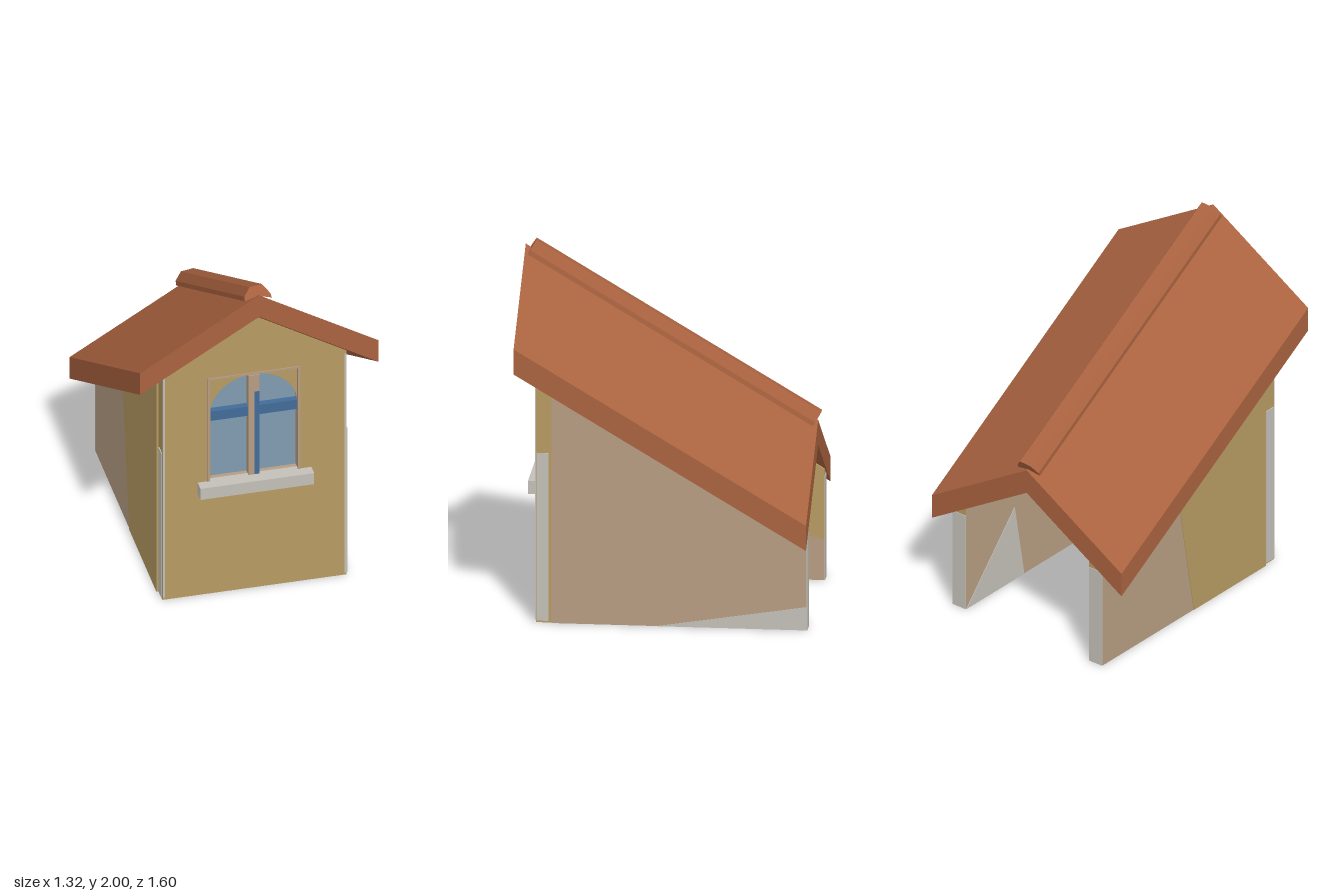
import * as THREE from 'three';

const SLOPE = 0.597; // fall of the roof from front to back

const mat = (name, color) => {
  const m = new THREE.MeshStandardMaterial({ color });
  m.name = name;
  return m;
};

export function createModel() {
  const group = new THREE.Group();
  group.name = 'dormer';

  const roofMat = mat('terracotta', 0xa9623f);
  const wallMat = mat('ochre plaster', 0xb69a62);
  const tanMat = mat('tan boards', 0xb69c82);
  const whiteMat = mat('off white', 0xc3c0b8);
  const glassMat = mat('glass blue', 0x7f9bb0);
  const blueMat = mat('bar blue', 0x436c98);

  const add = (name, geo, material) => {
    const mesh = new THREE.Mesh(geo, material);
    mesh.name = name;
    group.add(mesh);
    return mesh;
  };
  const shape = (pts) => new THREE.Shape(pts.map(([x, y]) => new THREE.Vector2(x, y)));
  const extrude = (s, depth) =>
    new THREE.ExtrudeGeometry(s, { depth, bevelEnabled: false, curveSegments: 16 });
  // box given by its limits
  const box = (name, x0, x1, y0, y1, z0, z1, m) => {
    const g = new THREE.BoxGeometry(x1 - x0, y1 - y0, z1 - z0);
    g.translate((x0 + x1) / 2, (y0 + y1) / 2, (z0 + z1) / 2);
    return add(name, g, m);
  };
  // outline in (z, y), filled from x0 to x1
  const sidePiece = (name, pts, x0, x1, m) => {
    const g = extrude(shape(pts), x1 - x0);
    g.rotateY(-Math.PI / 2);
    g.translate(x1, 0, 0);
    return add(name, g, m);
  };
  // tilt vertices above minY along the roof slope
  const shear = (g, z0, minY) => {
    const p = g.attributes.position;
    for (let i = 0; i < p.count; i++) {
      if (p.getY(i) > minY) p.setY(i, p.getY(i) + SLOPE * (p.getZ(i) - z0));
    }
    g.computeVertexNormals();
    return g;
  };

  // Roof: chevron section running down towards the back
  const roof = extrude(shape([
    [-0.66, 1.43], [0, 1.83], [0.66, 1.43], [0.66, 1.57], [0, 1.97], [-0.66, 1.57],
  ]), 1.58);
  roof.translate(0, 0, -0.78);
  add('roof', shear(roof, 0.8, -1), roofMat);

  // Ridge cap, square to the slope
  const cap = extrude(shape([
    [-0.075, -0.08], [0, -0.06], [0.075, -0.08], [0.07, -0.055], [0.03, 0], [-0.04, -0.008], [-0.075, -0.055],
  ]), 1.794);
  cap.rotateX(-Math.atan(SLOPE));
  cap.translate(0, 1.08, -0.8);
  add('ridgeCap', cap, roofMat);

  // Front gable wall with window opening
  const front = shape([[-0.51, 0], [0.51, 0], [0.51, 1.465], [0, 1.775], [-0.51, 1.465]]);
  front.holes.push(new THREE.Path(
    [[-0.26, 0.72], [-0.26, 1.4], [0.25, 1.4], [0.25, 0.72]].map(([x, y]) => new THREE.Vector2(x, y))));
  const frontGeo = extrude(front, 0.085);
  frontGeo.translate(0, 0, 0.61);
  add('frontWall', shear(frontGeo, 0.695, 1.42), wallMat);

  // Side walls, rear ends and corner trims
  const top = (z, lift = 0) => 1.56 + lift - SLOPE * (0.8 - z);
  for (const s of [-1, 1]) {
    const side = s > 0 ? 'left' : 'right';
    const a = s > 0 ? 0.43 : -0.52;
    sidePiece(side + 'Wall', [[-0.77, 0], [0.61, 0], [0.61, top(0.61)], [-0.77, top(-0.77)]],
      a, a + 0.09, [tanMat, wallMat]);
    box(side + 'RearEnd', a, a + 0.09, 0, 0.58, -0.774, -0.77, whiteMat);
    const e = s * 0.512;
    box(side + 'CornerEdge', e - 0.003, e + 0.003, 0.01, 0.95, 0.625, 0.69, whiteMat);
    const t = s * 0.503;
    box(side + 'CornerTrim', t - 0.006, t + 0.006, 0.015, 1.44, 0.692, 0.698, whiteMat);
  }

  // Painted patches on the side walls
  sidePiece('leftWallPatch', [[-0.77, 0], [0.04, 0], [-0.77, 0.13]], 0.519, 0.523, whiteMat);
  sidePiece('rightWallPatch', [[0, 0], [0.61, 0], [0.61, top(0.61)], [-0.17, top(-0.17)]],
    -0.523, -0.519, wallMat);
  sidePiece('rightInnerPatch', [[-0.77, 0.23], [-0.22, 0.35], [0.04, top(0.04)], [-0.77, top(-0.77)]],
    -0.431, -0.427, wallMat);
  sidePiece('leftInnerPatch', [[-0.77, 0], [-0.28, 0], [-0.36, 0.45]], 0.427, 0.431, whiteMat);

  // Arched window panel set into the opening
  const panel = shape([[-0.26, 0.72], [0.25, 0.72], [0.25, 1.4], [-0.26, 1.4]]);
  const arch = new THREE.Path();
  arch.moveTo(0.24, 0.73);
  arch.lineTo(0.24, 1.16);
  arch.absellipse(0, 1.16, 0.24, 0.215, 0, Math.PI, false);
  arch.lineTo(-0.24, 0.73);
  arch.closePath();
  panel.holes.push(arch);
  const panelGeo = extrude(panel, 0.05);
  panelGeo.translate(0, 0, 0.625);
  add('archPanel', panelGeo, [wallMat, tanMat]);
  box('glass', -0.25, 0.245, 0.725, 1.39, 0.636, 0.642, glassMat);

  // Thin frame around the opening
  box('frameTop', -0.262, 0.252, 1.388, 1.4, 0.66, 0.7, tanMat);
  box('frameRight', -0.262, -0.248, 0.73, 1.39, 0.66, 0.7, tanMat);
  box('frameLeft', 0.24, 0.252, 0.73, 1.39, 0.66, 0.7, tanMat);

  // Window bars
  box('crossBar', -0.24, 0.24, 1.11, 1.17, 0.642, 0.678, blueMat);
  box('uprightBarRight', -0.032, 0, 0.73, 1.376, 0.642, 0.69, tanMat);
  box('uprightBarLeft', 0, 0.03, 0.73, 1.27, 0.642, 0.69, blueMat);
  box('uprightBarLeftTop', 0, 0.03, 1.27, 1.376, 0.642, 0.69, tanMat);

  // Window sill
  box('sill', -0.315, 0.315, 0.66, 0.732, 0.67, 0.757, whiteMat);

  return group;
}
